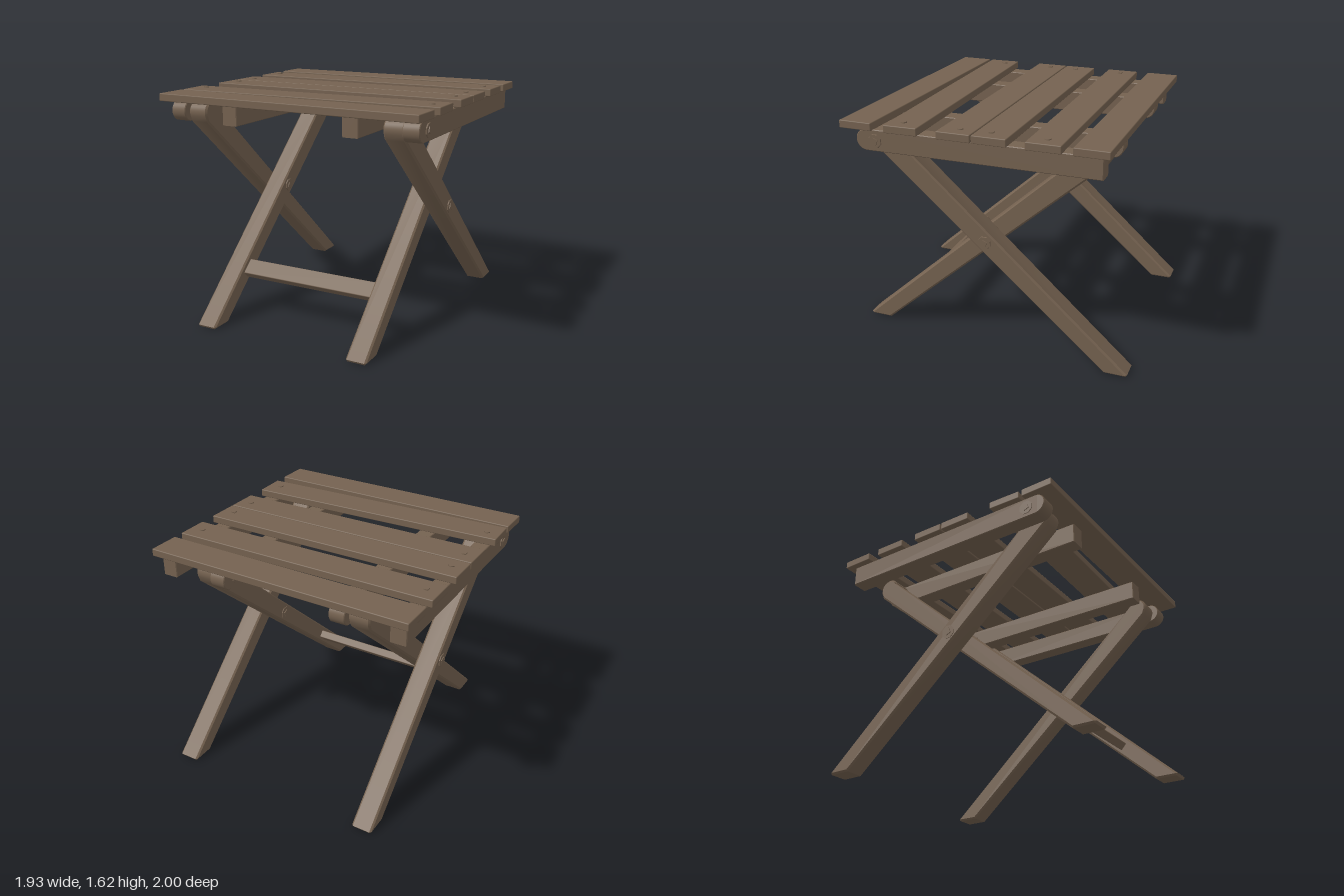
import * as THREE from 'three';
import { toCreasedNormals } from 'three/addons/utils/BufferGeometryUtils.js';
import { RoundedBoxGeometry } from 'three/addons/geometries/RoundedBoxGeometry.js';

const wood = new THREE.MeshStandardMaterial({ color: 0x756250 });
wood.name = 'brown wood';

// Extrudes a side profile drawn in (z, y) to a bevelled plank centred on x = 0.
function plank(shape, width, bevel) {
  const geo = new THREE.ExtrudeGeometry(shape, {
    depth: width - 2 * bevel, bevelThickness: bevel, bevelSize: bevel,
    bevelOffset: -bevel, bevelSegments: 1, curveSegments: 12,
  });
  geo.translate(0, 0, -(width / 2 - bevel));
  geo.rotateY(-Math.PI / 2);
  return toCreasedNormals(geo, 0.5);
}

// Leg running from its foot at +z up to a rounded head at -z.
function legShape() {
  const s = new THREE.Shape();
  s.moveTo(0.84, 0);
  s.lineTo(0.99, 0);
  s.lineTo(1, 0.015);
  s.lineTo(-0.655, 1.505);
  s.absarc(-0.72, 1.475, 0.075, 0.42, 3.5, false);
  s.lineTo(-0.775, 1.41);
  return s;
}

// Rail with a square end at +z and a round end at -z.
function railShape() {
  const s = new THREE.Shape();
  s.moveTo(0.82, 1.41);
  s.lineTo(0.82, 1.555);
  s.lineTo(-0.765, 1.555);
  s.absarc(-0.765, 1.4825, 0.0725, Math.PI / 2, Math.PI * 1.5, false);
  return s;
}

export function createModel() {
  const model = new THREE.Group();
  model.name = 'foldingStool';

  const add = (name, geo, x = 0, y = 0, z = 0) => {
    const mesh = new THREE.Mesh(geo, wood);
    mesh.name = name;
    mesh.position.set(x, y, z);
    model.add(mesh);
    return mesh;
  };

  // Bolt head on a washer, lying along x
  const washer = new THREE.CylinderGeometry(0.046, 0.05, 0.014, 8).toNonIndexed();
  const nut = new THREE.CylinderGeometry(0.026, 0.028, 0.026, 4).toNonIndexed();
  for (const g of [washer, nut]) {
    g.computeVertexNormals();
    g.rotateY(Math.PI / 8);
    g.rotateZ(-Math.PI / 2);
  }
  const bolt = (x, y, z) => {
    add('boltWasher', washer, x, y, z);
    add('boltHead', nut, x, y, z);
  };

  // Legs and rails; the outer set is the inner set turned front to back
  const leg = plank(legShape(), 0.148, 0.012);
  const rail = plank(railShape(), 0.113, 0.005);
  for (const side of [1, -1]) {
    add('innerLeg', leg, side * 0.585);
    add('outerLeg', leg, side * 0.735).rotation.y = Math.PI;
    add('innerRail', rail, side * 0.452);
    add('outerRail', rail, side * 0.865).rotation.y = Math.PI;

    bolt(side * 0.922, 1.48, 0.70);
    bolt(side * 0.395, 1.48, -0.70);
    bolt(side * 0.809, 0.82, 0);
    bolt(side * 0.511, 0.82, 0);
  }

  // Stretcher between the inner legs, lying along their slope
  const stretcher = add('stretcher', new RoundedBoxGeometry(1.03, 0.06, 0.12, 1, 0.006), 0, 0.32, 0.565);
  stretcher.rotation.x = 0.724;

  // Seat slats: centre z and slight skew
  const slat = new RoundedBoxGeometry(1.92, 0.053, 0.23, 1, 0.006);
  const slats = [[-0.762, -0.008], [-0.454, 0.001], [-0.105, 0], [0.133, 0], [0.523, 0.026], [0.81, -0.0104]];
  for (const [z, skew] of slats) add('seatSlat', slat, 0, 1.5825, z).rotation.y = skew;

  // Small screw heads: x, z, number of sides, turn
  const screws = [
    [-0.865, -0.455, 4, Math.PI / 4], [0.865, -0.455, 8, 0],
    [-0.865, -0.09, 4, 0], [0.865, -0.09, 4, Math.PI / 4],
    [-0.865, 0.12, 4, Math.PI / 4], [0.865, 0.12, 8, 0],
    [-0.865, 0.515, 4, 0], [0.865, 0.515, 8, 0],
  ];
  for (const [x, z, sides, turn] of screws) {
    add('screwHead', new THREE.CylinderGeometry(0.021, 0.023, 0.012, sides), x, 1.61, z).rotation.y = turn;
  }
  return model;
}
